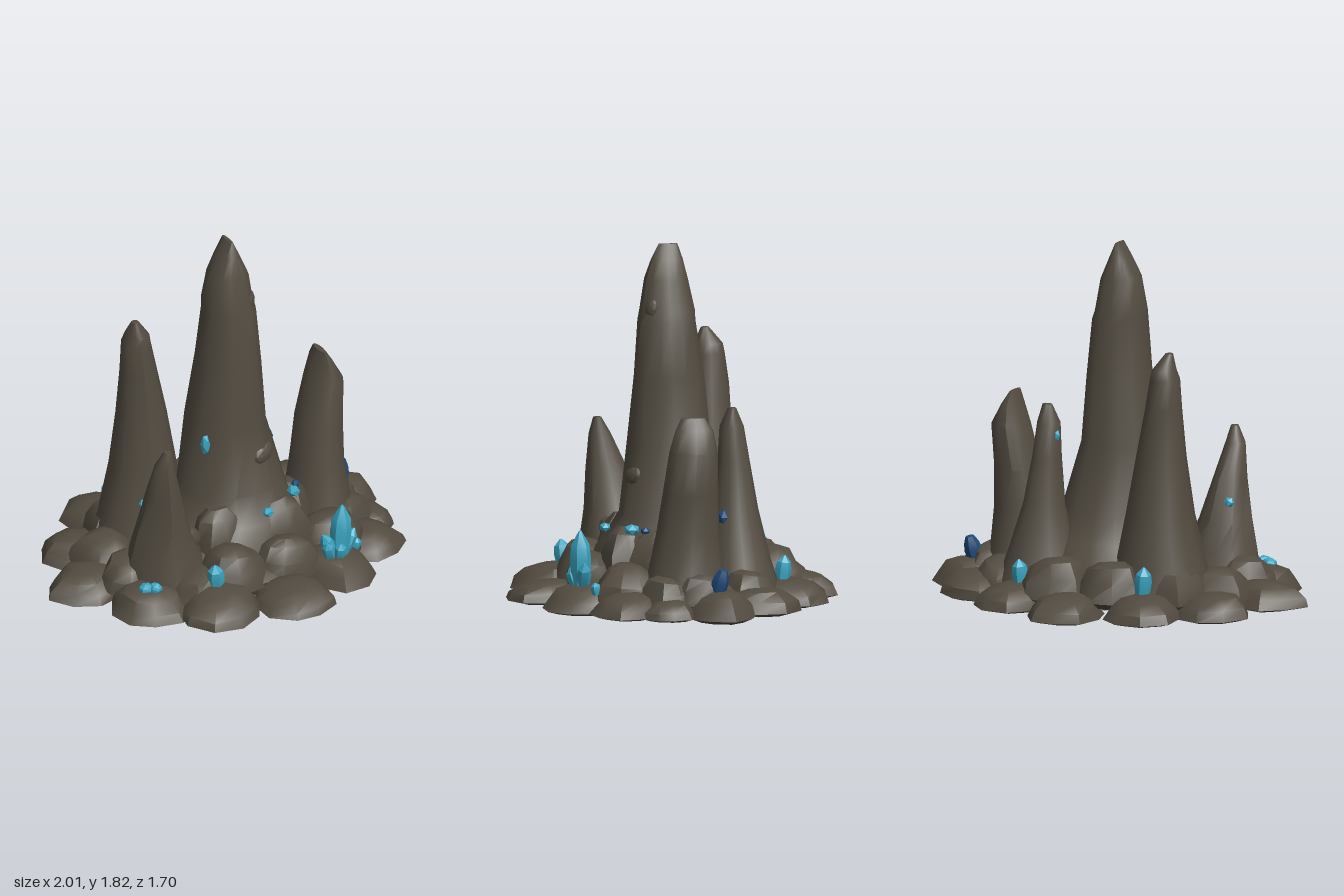
import * as THREE from 'three';
import { toCreasedNormals } from 'three/addons/utils/BufferGeometryUtils.js';

const stone = new THREE.MeshStandardMaterial({ color: 0x524b40 });
stone.name = 'stone';
const teal = new THREE.MeshStandardMaterial({ color: 0x3ba6c2 });
teal.name = 'teal crystal';
const navy = new THREE.MeshStandardMaterial({ color: 0x204a78 });
navy.name = 'dark blue crystal';

// Seeded random numbers
function seeded(seed) {
  let s = seed * 7919 + 17;
  return () => (s = (s * 16807) % 2147483647) / 2147483647;
}

// Skin a stack of rings (bottom to top) and close both ends
function loft(rings, crease) {
  const n = rings[0].length, pos = [], idx = [];
  for (const ring of rings) for (const p of ring) pos.push(p.x, p.y, p.z);
  for (let j = 0; j < rings.length - 1; j++) {
    for (let i = 0; i < n; i++) {
      const a = j * n + i, b = j * n + (i + 1) % n;
      idx.push(a, a + n, b, b, a + n, b + n);
    }
  }
  for (const j of [0, rings.length - 1]) {
    const mid = rings[j].reduce((m, p) => m.add(p), new THREE.Vector3()).divideScalar(n);
    const c = pos.length / 3;
    pos.push(mid.x, mid.y, mid.z);
    for (let i = 0; i < n; i++) {
      const a = j * n + i, b = j * n + (i + 1) % n;
      if (j === 0) idx.push(b, c, a); else idx.push(a, c, b);
    }
  }
  const geo = new THREE.BufferGeometry();
  geo.setAttribute('position', new THREE.Float32BufferAttribute(pos, 3));
  geo.setIndex(idx);
  return toCreasedNormals(geo, crease);
}

// Tapering spire; rows are [y, xMin, xMax, zMin, zMax]
function spire(rows, seed, sides = 14) {
  const rnd = seeded(seed);
  const ribs = Array.from({ length: sides }, () => 0.94 + 0.1 * rnd());
  const rings = rows.map(([y, x0, x1, z0, z1]) => ribs.map((rib, i) => {
    const a = (i / sides) * Math.PI * 2, k = rib + (rnd() - 0.5) * 0.06;
    return new THREE.Vector3((x0 + x1) / 2 + Math.cos(a) * k * (x1 - x0) / 2, y,
      (z0 + z1) / 2 + Math.sin(a) * k * (z1 - z0) / 2);
  }));
  return loft(rings, 0.75);
}

// Irregular boulder, widest near the ground, sloping to a tilted top
function boulder(x, z, rx, rz, y0, y1, seed) {
  const rnd = seeded(seed), sides = 9, h = y1 - y0;
  const shape = Array.from({ length: sides }, () => 0.88 + 0.2 * rnd());
  const tx = (rnd() - 0.5) * 0.4, tz = (rnd() - 0.5) * 0.4, turn = rnd() * 6;
  const levels = [[0, 0.72], [0.13, 1], [0.5, 0.88], [0.85, 0.64], [1, 0.32]];
  const rings = levels.map(([t, s], j) => shape.map((k, i) => {
    const a = turn + (i / sides) * Math.PI * 2, r = k * s * (j > 1 ? 0.92 + 0.16 * rnd() : 1);
    const c = Math.cos(a) * r, d = Math.sin(a) * r;
    return new THREE.Vector3(x + c * rx, y0 + h * t * (1 + tx * c + tz * d), z + d * rz);
  }));
  return loft(rings, 0.7);
}

// Six-sided crystal with a blunt, bevelled tip
function crystal(x, y, z, h, r, tiltX, tiltZ, tip = 0.12) {
  const profile = [[0, 0], [r * 0.8, 0], [r, h * 0.5], [r * 0.85, h * 0.76], [r * tip, h], [0, h]];
  const geo = toCreasedNormals(new THREE.LatheGeometry(profile.map((p) => new THREE.Vector2(...p)), 6), 0.4);
  return geo.rotateX(tiltX).rotateZ(tiltZ).translate(x, y, z);
}

export function createModel() {
  const model = new THREE.Group();
  const add = (name, geo, mat = stone) => {
    const mesh = new THREE.Mesh(geo, mat);
    mesh.name = name;
    model.add(mesh);
    return mesh;
  };

  add('mainSpire', spire([
    [0.03, -0.52, 0.52, -0.52, 0.5], [0.2, -0.42, 0.44, -0.44, 0.43], [0.32, -0.28, 0.38, -0.33, 0.36],
    [0.45, -0.23, 0.34, -0.26, 0.28], [0.8, -0.18, 0.24, -0.2, 0.23], [1.15, -0.13, 0.205, -0.16, 0.2],
    [1.43, -0.105, 0.185, -0.12, 0.175], [1.48, -0.1, 0.165, -0.115, 0.17], [1.64, -0.075, 0.14, -0.08, 0.14],
    [1.74, -0.02, 0.09, -0.06, 0.11], [1.82, 0.03, 0.05, -0.03, 0.07]], 3, 16));
  add('backLeftSpire', spire([
    [0.05, -0.6, -0.02, -0.52, 0.02], [0.25, -0.54, -0.08, -0.47, -0.03], [0.5, -0.48, -0.13, -0.43, -0.07],
    [0.8, -0.44, -0.18, -0.38, -0.12], [1.05, -0.42, -0.23, -0.36, -0.15], [1.2, -0.41, -0.26, -0.345, -0.17],
    [1.25, -0.39, -0.27, -0.33, -0.18], [1.33, -0.37, -0.33, -0.26, -0.22]], 5));
  add('frontLeftSpire', spire([
    [0.05, -0.66, -0.2, -0.02, 0.42], [0.25, -0.63, -0.26, 0.02, 0.38], [0.4, -0.6, -0.33, 0.07, 0.36],
    [0.6, -0.56, -0.39, 0.14, 0.345], [0.78, -0.54, -0.44, 0.22, 0.33], [0.865, -0.5, -0.46, 0.27, 0.31]], 8));
  add('backRightSpire', spire([
    [0.05, 0.1, 0.58, -0.52, -0.08], [0.25, 0.16, 0.52, -0.45, -0.12], [0.5, 0.22, 0.44, -0.39, -0.16],
    [0.75, 0.24, 0.39, -0.35, -0.19], [0.92, 0.25, 0.37, -0.32, -0.2], [1.015, 0.29, 0.34, -0.28, -0.24]], 11));
  add('rightSpire', spire([
    [0.05, 0.36, 0.78, -0.22, 0.26], [0.22, 0.4, 0.74, -0.17, 0.21], [0.42, 0.44, 0.71, -0.15, 0.17],
    [0.62, 0.47, 0.71, -0.14, 0.14], [0.84, 0.53, 0.72, -0.13, 0.11], [0.95, 0.57, 0.66, -0.11, 0.08],
    [1.01, 0.59, 0.62, -0.07, 0.05]], 14));

  // Ground slab that ties the boulders together
  add('baseSlab', spire([[0.03, -0.6, 0.6, -0.5, 0.5], [0.1, -0.64, 0.64, -0.54, 0.54],
    [0.14, -0.55, 0.55, -0.48, 0.48]], 17, 18));

  // Outer ring of low, overlapping boulders: x, z, rx, rz, top
  [[0.05, -0.65, 0.2, 0.22, 0.13], [-0.34, -0.57, 0.21, 0.22, 0.14], [0.38, -0.53, 0.2, 0.21, 0.14],
    [-0.61, -0.33, 0.21, 0.21, 0.13], [0.64, -0.34, 0.2, 0.21, 0.14], [-0.78, 0, 0.22, 0.2, 0.14],
    [0.8, -0.12, 0.2, 0.19, 0.15], [0.79, 0.15, 0.15, 0.14, 0.11], [0.66, 0.34, 0.21, 0.19, 0.13],
    [0.39, 0.51, 0.2, 0.21, 0.15], [0.05, 0.65, 0.2, 0.22, 0.12], [-0.33, 0.55, 0.22, 0.22, 0.15],
    [-0.61, 0.34, 0.21, 0.2, 0.15]].forEach(([x, z, rx, rz, top], i) =>
    add('outerBoulder', boulder(x, z, rx, rz, i % 3 ? 0.01 : 0, top, 20 + i)));

  // Inner ring of taller boulders: x, z, rx, rz, bottom, top
  [[-0.59, -0.13, 0.18, 0.19, 0.05, 0.22], [-0.6, 0.14, 0.18, 0.16, 0.05, 0.23], [-0.12, -0.43, 0.22, 0.2, 0.05, 0.27],
    [0.18, -0.45, 0.22, 0.21, 0.05, 0.27], [0.52, -0.31, 0.18, 0.17, 0.05, 0.21], [0.7, -0.06, 0.13, 0.17, 0.05, 0.22],
    [0.66, 0.13, 0.16, 0.16, 0.05, 0.21], [0.47, 0.29, 0.21, 0.18, 0.05, 0.25], [0.14, 0.42, 0.2, 0.16, 0.05, 0.26],
    [-0.16, 0.39, 0.21, 0.18, 0.05, 0.28], [-0.38, 0.39, 0.17, 0.16, 0.05, 0.2], [0.17, 0.26, 0.2, 0.15, 0.12, 0.4],
    [-0.15, 0.22, 0.16, 0.15, 0.1, 0.42], [-0.4, -0.35, 0.18, 0.16, 0.05, 0.26], [0.32, 0.12, 0.15, 0.16, 0.1, 0.4]]
    .forEach(([x, z, rx, rz, y0, y1], i) => add('innerBoulder', boulder(x, z, rx, rz, y0, y1, 50 + i)));

  // Weathered knobs on the spires: x, y, z, radius
  [[0.1, 1.5, 0.115, 0.05], [0.08, 1.23, 0.15, 0.05], [0.13, 0.65, 0.21, 0.06], [-0.53, 0.35, 0.28, 0.05],
    [-0.33, 0.32, 0.27, 0.06]].forEach(([x, y, z, r], i) => {
    const knob = add('knob', toCreasedNormals(new THREE.IcosahedronGeometry(r, 1), 0.5));
    knob.position.set(x, y, z);
    knob.scale.set(0.9, 1.2, 0.6);
    knob.rotation.set(-0.2, 0.3, i);
  });

  // Crystals: x, y, z, height, radius, tiltX, tiltZ
  [[0.39, 0.12, 0.53, 0.3, 0.055, 0.02, -0.05], [0.37, 0.13, 0.52, 0.17, 0.038, 0.1, 0.5],
    [0.41, 0.13, 0.52, 0.15, 0.038, 0.05, -0.5], [0.34, 0.13, 0.53, 0.12, 0.035, 0.25, 0.35],
    [0.38, 0.13, 0.55, 0.1, 0.035, 0.3, 0.1], [0.52, 0.11, 0.47, 0.06, 0.028, 0.2, -0.1],
    [-0.31, 0.13, 0.49, 0.14, 0.045, 0.1, 0.15], [-0.64, 0.13, 0.35, 0.05, 0.038, 0.1, 0.2],
    [-0.61, 0.13, 0.37, 0.055, 0.035, 0.2, -0.3], [-0.32, 0.12, -0.51, 0.16, 0.045, -0.1, 0.1],
    [0.35, 0.12, -0.51, 0.14, 0.042, -0.1, -0.05]].forEach((c) => add('crystal', crystal(...c), teal));
  add('darkCrystal', crystal(0.775, 0.12, -0.1, 0.145, 0.045, -0.2, -0.2, 0.5), navy);

  // Crystal nubs set into the rock: x, y, z, rx, ry, rz, material
  [[0.29, 0.4, 0.25, 0.032, 0.03, 0.042, teal], [0.08, 0.385, 0.35, 0.03, 0.025, 0.03, teal],
    [-0.165, 0.745, 0.14, 0.024, 0.06, 0.03, teal], [-0.52, 0.5, 0.125, 0.028, 0.028, 0.025, teal],
    [0.255, 0.86, -0.28, 0.018, 0.03, 0.018, teal], [0.34, 0.4, 0.19, 0.022, 0.02, 0.025, navy],
    [0.41, 0.47, -0.2, 0.03, 0.045, 0.03, navy]].forEach(([x, y, z, rx, ry, rz, mat]) => {
    const nub = add('crystalNub', toCreasedNormals(new THREE.IcosahedronGeometry(1, 0), 0.2), mat);
    nub.position.set(x, y, z);
    nub.scale.set(rx, ry, rz);
  });
  return model;
}
